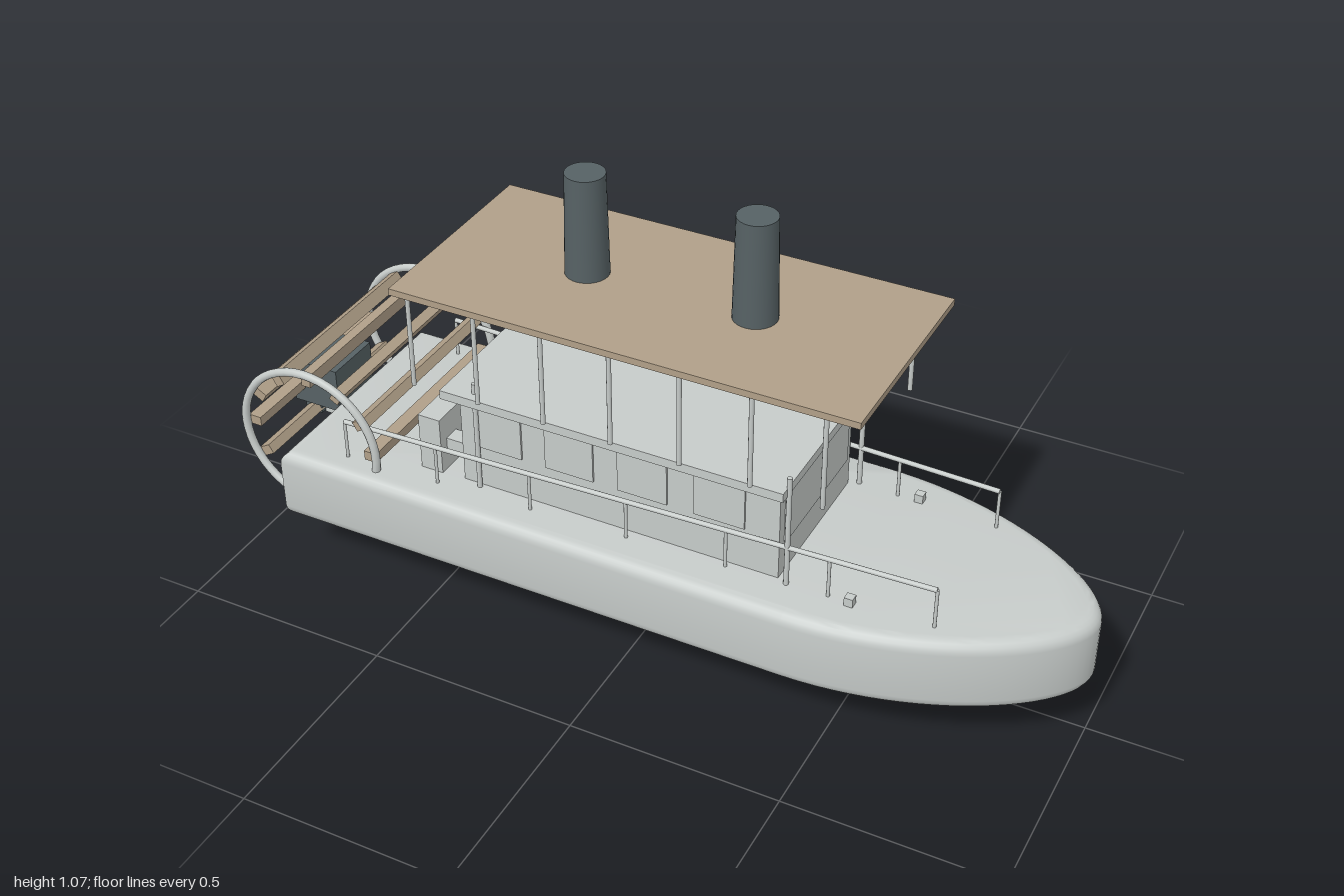
import * as THREE from 'three';
import { toCreasedNormals } from 'three/addons/utils/BufferGeometryUtils.js';

const mat = (name, color) => {
  const m = new THREE.MeshStandardMaterial({ color });
  m.name = name;
  return m;
};

export function createModel() {
  const model = new THREE.Group();
  model.name = 'paddleBoat';
  const grey = mat('pale grey paint', 0xc6cbc9);
  const tan = mat('tan wood', 0xb09f88);
  const dark = mat('dark iron', 0x566164);

  const add = (name, geo, material, parent = model) => {
    const m = new THREE.Mesh(geo, material);
    m.name = name;
    parent.add(m);
    return m;
  };
  // Box given by its extents on each axis
  const box = (name, material, [x0, x1], [y0, y1], [z0, z1], parent) => {
    const m = add(name, new THREE.BoxGeometry(x1 - x0, y1 - y0, z1 - z0), material, parent);
    m.position.set((x0 + x1) / 2, (y0 + y1) / 2, (z0 + z1) / 2);
    return m;
  };
  // Round bar between two points
  const bar = (name, material, a, b, r, parent) => {
    const p = new THREE.Vector3(...a), q = new THREE.Vector3(...b);
    const m = add(name, new THREE.CylinderGeometry(r, r, p.distanceTo(q), 10), material, parent);
    m.position.copy(p).add(q).multiplyScalar(0.5);
    m.quaternion.setFromUnitVectors(new THREE.Vector3(0, 1, 0), q.sub(p).normalize());
    return m;
  };

  // Hull: square stern, rounded bow, softened top and bottom edges
  const plan = new THREE.Shape();
  plan.moveTo(-0.87, -0.3);
  plan.lineTo(0.4, -0.3);
  plan.bezierCurveTo(0.72, -0.3, 1, -0.12, 1, 0);
  plan.bezierCurveTo(1, 0.12, 0.72, 0.3, 0.4, 0.3);
  plan.lineTo(-0.87, 0.3);
  plan.closePath();
  const hullGeo = new THREE.ExtrudeGeometry(plan, {
    depth: 0.123, bevelSize: 0.03, bevelThickness: 0.03, bevelOffset: -0.03,
    bevelSegments: 5, curveSegments: 24,
  });
  hullGeo.rotateX(-Math.PI / 2).translate(0, 0.166, 0);
  add('hull', toCreasedNormals(hullGeo, 0.6), grey);

  // Cabin with roof, panels and corner posts
  const cabin = new THREE.Group();
  cabin.name = 'cabin';
  model.add(cabin);
  box('cabinBody', grey, [-0.436, 0.345], [0.31, 0.555], [-0.19, 0.19], cabin);
  box('cabinRoof', grey, [-0.463, 0.366], [0.553, 0.575], [-0.227, 0.227], cabin);
  box('frontPanel', grey, [0.344, 0.35], [0.4, 0.545], [-0.165, 0.165], cabin);
  for (const s of [-1, 1]) {
    for (const x of [-0.34, -0.16, 0.02, 0.205]) {
      const w = box('sideWindow', grey, [x - 0.06, x + 0.06], [0.425, 0.537], [-0.003, 0.003], cabin);
      w.position.z = s * 0.192;
    }
    for (const x of [-0.39, 0.368])
      bar('cornerPost', grey, [x, 0.31, s * 0.2], [x, 0.6, s * 0.2], 0.006, cabin);
  }

  // Canopy on slim posts
  box('canopy', tan, [-0.555, 0.537], [0.811, 0.827], [-0.255, 0.255]);
  for (const s of [-1, 1])
    for (let i = 0; i < 7; i++) {
      const x = -0.52 + i * 0.163;
      bar('canopyPost', grey, [x, 0.58, s * 0.238], [x, 0.815, s * 0.238], 0.0055);
    }

  // Funnels
  for (const x of [-0.21, 0.19])
    add('funnel', new THREE.CylinderGeometry(0.045, 0.053, 0.395, 28), dark).position.set(x, 0.8725, 0);

  // Side rails converging toward the bow, cleats and stern lockers
  for (const s of [-1, 1]) {
    const railZ = (t) => s * (0.24 - 0.053 * t);
    bar('rail', grey, [-0.72, 0.417, railZ(0)], [0.7, 0.417, railZ(1)], 0.006);
    for (let i = 0; i <= 6; i++) {
      const x = -0.72 + (1.42 * i) / 6, z = railZ(i / 6);
      bar('railPost', grey, [x, 0.31, z], [x, 0.417, z], 0.004);
    }
    box('cleat', grey, [0.505, 0.525], [0.315, 0.34], [s * 0.2 - 0.01, s * 0.2 + 0.01]);
    const z = s * 0.15;
    box('sternLocker', grey, [-0.548, -0.492], [0.315, 0.463], [z - 0.045, z + 0.045]);
    box('lockerLink', grey, [-0.492, -0.43], [0.365, 0.4], [z - 0.02, z + 0.02]);
  }

  // Paddle wheel: two rims joined by twelve slats
  const wheel = new THREE.Group();
  wheel.name = 'paddleWheel';
  wheel.position.set(-0.81, 0.347, 0);
  model.add(wheel);
  for (const s of [-1, 1])
    add('wheelRim', new THREE.TorusGeometry(0.18, 0.01, 10, 48), grey, wheel).position.z = s * 0.256;
  for (let i = 0; i < 12; i++) {
    const a = (i * Math.PI) / 6;
    const slat = add('paddleSlat', new THREE.BoxGeometry(0.032, 0.024, 0.5), tan, wheel);
    slat.position.set(Math.cos(a) * 0.16, Math.sin(a) * 0.16, 0);
    slat.rotation.z = a;
  }

  // Outboard motor with leg and six-bladed propeller
  const motor = new THREE.Group();
  motor.name = 'outboardMotor';
  model.add(motor);
  box('motorCowl', dark, [-0.985, -0.86], [0.295, 0.408], [-0.073, 0.073], motor);
  box('motorBase', dark, [-0.975, -0.93], [0.255, 0.295], [-0.05, 0.05], motor);
  box('motorBracket', grey, [-0.93, -0.865], [0.25, 0.297], [-0.035, 0.035], motor);
  box('upperLeg', grey, [-0.93, -0.908], [0.12, 0.26], [-0.018, 0.018], motor);
  box('lowerLeg', grey, [-0.937, -0.903], [0.028, 0.122], [-0.018, 0.018], motor);
  bar('propellerHub', grey, [-0.948, 0.055, 0], [-0.93, 0.055, 0], 0.014, motor);
  for (let i = 0; i < 3; i++) {
    const blade = add('propellerBlades', new THREE.BoxGeometry(0.008, 0.016, 0.11), grey, motor);
    blade.position.set(-0.94, 0.055, 0);
    blade.rotation.x = (i * Math.PI) / 3;
  }

  return model;
}
